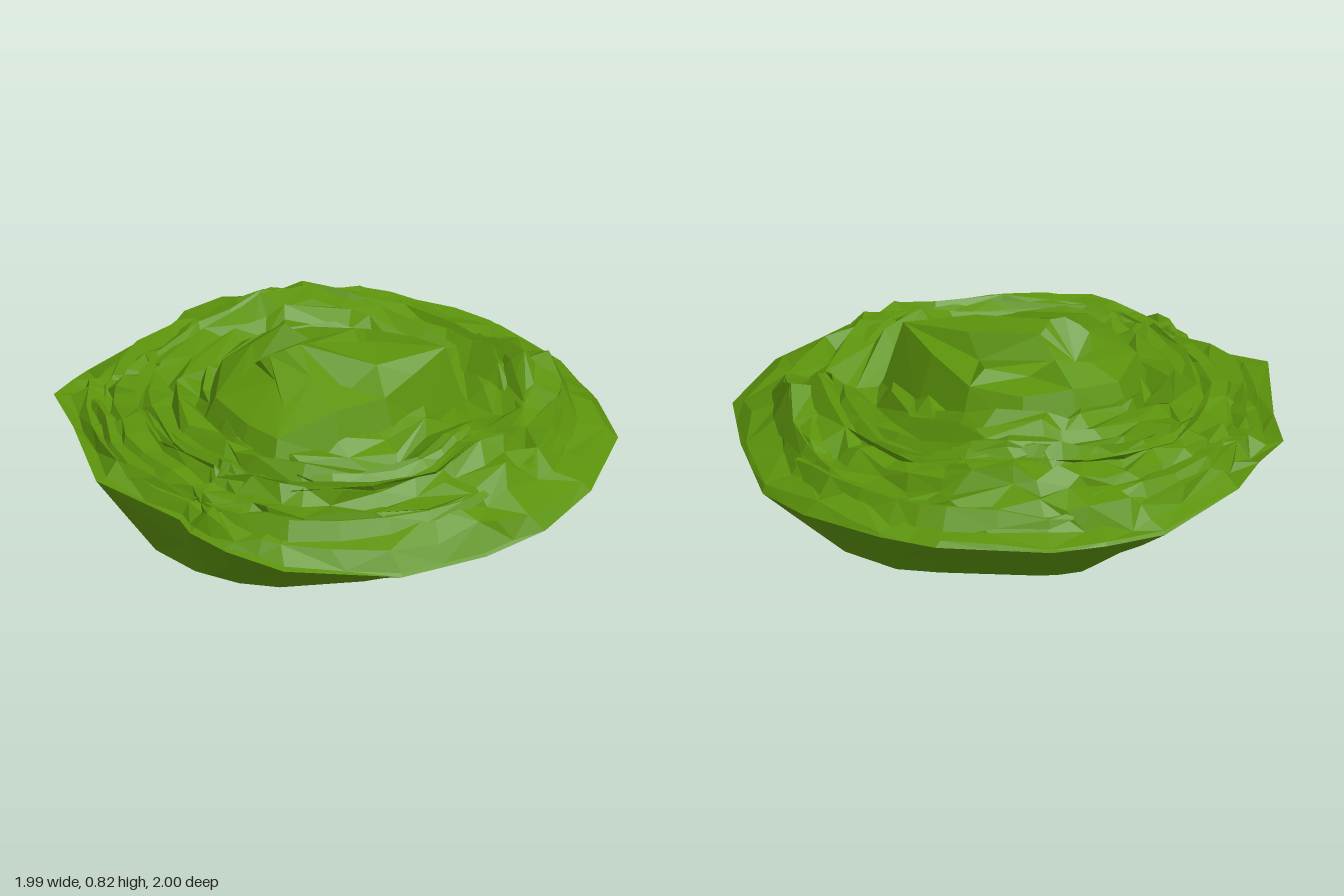
import * as THREE from 'three';

const V = (x, y, z) => new THREE.Vector3(x, y, z);

// Outer rim, counter-clockwise seen from above: x, height, z
const RIM = [
  [0.99, 0.37, -0.2], [0.9, 0.4, -0.48], [0.66, 0.41, -0.79], [0.38, 0.4, -0.91],
  [0.05, 0.37, -1], [-0.2, 0.39, -0.97], [-0.52, 0.41, -0.83], [-0.71, 0.42, -0.7],
  [-0.95, 0.42, -0.35], [-1, 0.42, -0.15], [-0.99, 0.4, 0.1], [-0.87, 0.44, 0.47],
  [-0.79, 0.48, 0.6], [-0.72, 0.5, 0.74], [-0.5, 0.49, 0.82], [-0.13, 0.49, 1],
  [0.2, 0.43, 0.87], [0.3, 0.43, 0.9], [0.48, 0.42, 0.87], [0.68, 0.39, 0.76],
  [0.92, 0.35, 0.4], [0.97, 0.34, 0.05],
].map((p) => V(...p));
const n = RIM.length;

// Crest of the heart, same direction: x, height, z
const HEART = [
  [0.32, 0.7, 0.02], [0.3, 0.74, -0.13], [0.28, 0.79, -0.29], [0.08, 0.75, -0.28],
  [-0.13, 0.7, -0.24], [-0.28, 0.69, -0.1], [-0.33, 0.7, 0.08], [-0.31, 0.67, 0.28],
  [-0.12, 0.66, 0.46], [0.1, 0.65, 0.48], [0.25, 0.65, 0.46], [0.29, 0.7, 0.22],
].map((p) => V(...p));
// Inner folds of the heart
const FOLDS = [
  [0.2, 0.7, 0.1], [0.22, 0.78, -0.02], [0.1, 0.79, -0.12], [0.05, 0.69, -0.1],
  [-0.1, 0.74, -0.16], [-0.18, 0.71, -0.02], [-0.23, 0.78, 0.06], [-0.24, 0.74, 0.2],
  [-0.1, 0.7, 0.36], [0.03, 0.74, 0.3], [0.16, 0.7, 0.36], [0.12, 0.76, 0.2],
].map((p) => V(...p));

// Average height of the leaf layers by distance from the heart
const PROFILE = [[0, 0.59], [0.4, 0.59], [0.6, 0.575], [0.75, 0.545], [0.88, 0.495]];
// Raised leaves and hollows: x, z, height, width
const BUMPS = [
  [0.47, 0.15, -0.05, 0.1], [0.34, -0.42, -0.09, 0.12], [0.02, -0.4, -0.03, 0.12],
  [0.3, -0.67, 0.12, 0.12], [-0.48, -0.28, 0.11, 0.16], [-0.42, 0.15, 0.04, 0.12],
  [0.6, -0.14, 0.07, 0.13], [-0.72, -0.1, 0.03, 0.14],
];

const noise = (a, b, c) => {
  const s = Math.sin(a * 127.1 + b * 311.7 + c * 74.7) * 43758.5453;
  return (s - Math.floor(s)) * 2 - 1;
};

// Point on the rim at a fraction u of the way round, 0 to 1
function rimAt(u) {
  const f = (u * n) % n, i = Math.floor(f);
  return RIM[i].clone().lerp(RIM[(i + 1) % n], f - i);
}

// Point on a leaf layer: rim fraction u, distance t (rounder inward), sideways shift, lift
function layerPoint(u, t, slide, lift) {
  const rim = rimAt(u);
  const round = V(rim.x, 0, rim.z).setLength(0.95).setY(rim.y);
  const p = rim.clone().lerp(round, Math.min(1, (1 - t) * 4));
  const x = p.x * t - p.z * slide, z = p.z * t + p.x * slide + 0.1 * (1 - t);
  const stops = [...PROFILE, [1, rim.y]];
  let i = 1;
  while (i < stops.length - 1 && t > stops[i][0]) i++;
  const [t0, y0] = stops[i - 1], [t1, y1] = stops[i];
  let y = THREE.MathUtils.lerp(y0, y1, (t - t0) / (t1 - t0));
  for (const [bx, bz, h, w] of BUMPS) {
    y += h * Math.exp(-((x - bx) ** 2 + (z - bz) ** 2) / (2 * w * w)) * Math.min(1, (1 - t) * 6);
  }
  return V(x, y + lift, z);
}

// Faceted surface from rows of points, with alternating diagonals
function facets(rows) {
  const pos = [];
  const tri = (a, b, c) => {
    const area = b.clone().sub(a).cross(c.clone().sub(a)).length();
    if (area > 1e-7) for (const p of [a, b, c]) pos.push(p.x, p.y, p.z);
  };
  for (let k = 0; k < rows.length - 1; k++) {
    for (let j = 0; j < rows[k].length - 1; j++) {
      const a = rows[k][j], b = rows[k + 1][j], c = rows[k + 1][j + 1], d = rows[k][j + 1];
      if ((j + k) % 2) { tri(a, b, c); tri(a, c, d); } else { tri(a, b, d); tri(b, c, d); }
    }
  }
  const g = new THREE.BufferGeometry();
  g.setAttribute('position', new THREE.Float32BufferAttribute(pos, 3));
  g.computeVertexNormals();
  return g;
}

// Crinkled leaves spiralling from t0 out to t1, crest and fold by turns
function spiral(cols, t0, t1, K) {
  const point = (k, j) => {
    if (j === cols) { k += 2; j = 0; }
    const s = THREE.MathUtils.clamp((k + (2 * j) / cols) / K, 0, 1);
    const t = THREE.MathUtils.lerp(t0, t1, s);
    if (t === 1) return rimAt(j / cols);
    const side = k % 2 ? 1 : -1;
    const fade = Math.min(1, (1 - t) * 22) * Math.min(1, s * 8);
    const shifted = Math.min(0.99, t + fade * (side * 0.01 + noise(k, j, 2) * 0.022));
    return layerPoint(j / cols, shifted, noise(k, j, 3) * 0.045 * fade,
      fade * (side * 0.018 + noise(k, j, 4) * 0.024));
  };
  const rows = [];
  for (let k = -2; k <= K; k++) rows.push(Array.from({ length: cols + 1 }, (_, j) => point(k, j)));
  return rows;
}

export function createModel() {
  const group = new THREE.Group();
  const leafGreen = new THREE.MeshStandardMaterial({ color: 0x5c930c, flatShading: true, side: THREE.DoubleSide });
  leafGreen.name = 'leaf green';
  const add = (name, rows) => {
    const mesh = new THREE.Mesh(facets(rows), leafGreen);
    mesh.name = name;
    group.add(mesh);
  };
  const closed = (ring) => [...ring, ring[0]];

  // Smooth outer leaf: an oval bowl flaring to the rim (half width, half depth, height)
  const ovals = [[0, 0, 0], [0.16, 0.16, 0.002], [0.45, 0.36, 0.035], [0.62, 0.77, 0.15]];
  const bowl = ovals.map(([rx, rz, y], k) => closed(RIM.map((p, i) => {
    const a = Math.atan2(p.z, p.x);
    return V(Math.cos(a) * rx - 0.03 * (k < 3), y + (k > 1) * noise(i, k, 1) * 0.008, Math.sin(a) * rz);
  })));
  bowl.push(closed(RIM.map((p, i) => bowl[3][i].clone().lerp(p, 0.55).add(V(0, noise(i, 4, 1) * 0.012, 0)))));
  bowl.push(closed(RIM));
  add('outerLeaf', bowl.reverse());

  // Leaf layers: broad folds near the heart, finer ones toward the rim
  add('innerLeaves', spiral(n, 0.32, 0.72, 7));
  add('outerLayers', spiral(n * 2, 0.68, 1, 6));

  // Heart: steep wall, crest, inner folds, a lopsided core and its hollow
  const foot = HEART.map((p) => V(p.x * 1.18, 0.53, (p.z - 0.1) * 1.15 + 0.1));
  const core = HEART.map((p, i) => {
    const a = Math.atan2(p.z - 0.1, p.x), r = 0.1 + noise(i, 1, 20) * 0.025;
    return V(-0.11 + r * Math.cos(a), 0.75 + 0.075 * Math.cos(a), 0.18 + r * Math.sin(a));
  });
  const hollow = HEART.map(() => V(-0.13, 0.69, 0.2));
  add('heart', [foot, HEART, FOLDS, core, hollow].map(closed));

  // Loose leaf edges lying over the layers: start column, length, distance, lift
  const loose = [
    [1, 9, 0.86, 0.03], [8, 9, 0.9, 0.03], [18, 8, 0.86, 0.03], [25, 8, 0.88, 0.035], [34, 9, 0.87, 0.03],
    [4, 8, 0.68, 0.035], [13, 9, 0.66, 0.03], [28, 9, 0.67, 0.025], [38, 7, 0.64, 0.02],
  ];
  loose.forEach(([start, length, dist, lift], s) => {
    const rows = [-0.09, 0, 0.045].map((dt, r) => Array.from({ length: length + 1 }, (_, i) => {
      const taper = Math.sin((Math.PI * i) / length);
      const raise = [-0.03, lift, -0.025][r] * taper + noise(s, i, r + 9) * 0.012;
      return layerPoint((start + i) / (n * 2), dist + dt * taper + noise(s, i, r + 5) * 0.014, 0, raise);
    }));
    add('looseLeaf', rows);
  });

  return group;
}
